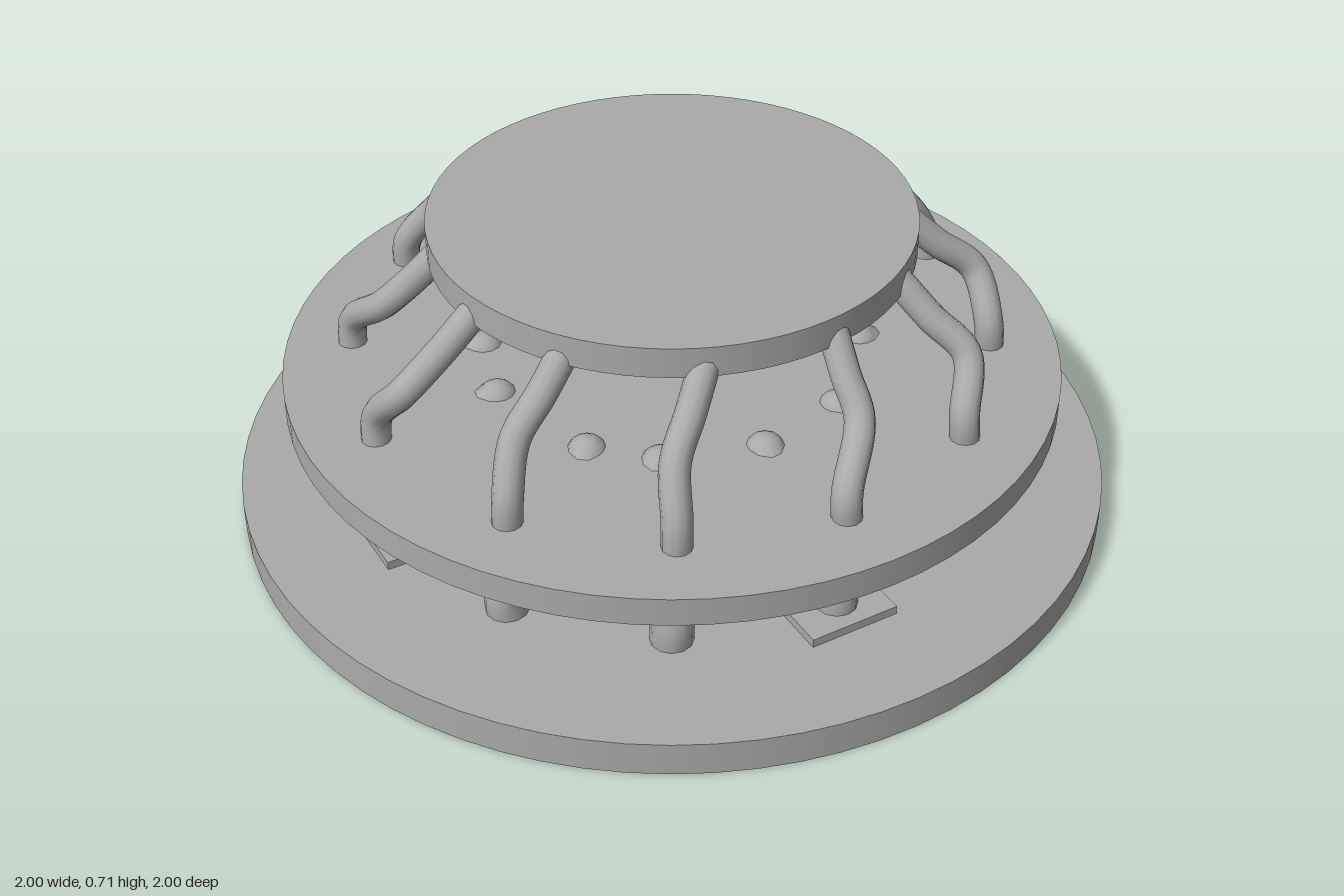
import * as THREE from 'three';

const grey = new THREE.MeshStandardMaterial({ color: 0xaaaaaa });
grey.name = 'stone grey';

// Plan points of each upper root: foot x,z, bend x,z, top x,z
const upperRoots = [
  [0, 0.72, 0.08, 0.63, 0.09, 0.5],
  [0.37, 0.62, 0.41, 0.55, 0.31, 0.41],
  [0.63, 0.36, 0.63, 0.28, 0.47, 0.2],
  [0.73, -0.03, 0.66, -0.03, 0.5, -0.08],
  [0.62, -0.38, 0.54, -0.36, 0.39, -0.32],
  [0.36, -0.64, 0.27, -0.61, 0.19, -0.47],
  [-0.01, -0.73, -0.08, -0.71, -0.03, -0.5],
  [-0.38, -0.63, -0.32, -0.57, -0.32, -0.4],
  [-0.63, -0.37, -0.59, -0.25, -0.47, -0.17],
  [-0.73, 0, -0.69, 0.08, -0.5, 0.07],
  [-0.61, 0.39, -0.56, 0.34, -0.41, 0.29],
  [-0.35, 0.63, -0.32, 0.57, -0.19, 0.47],
];

export function createModel() {
  const model = new THREE.Group();
  model.name = 'tieredStand';

  const add = (name, geometry, parent = model) => {
    const mesh = new THREE.Mesh(geometry, grey);
    mesh.name = name;
    parent.add(mesh);
    return mesh;
  };
  const group = (name) => {
    const g = new THREE.Group();
    g.name = name;
    model.add(g);
    return g;
  };
  const disc = (name, radius, bottom, top) => {
    add(name, new THREE.CylinderGeometry(radius, radius, top - bottom, 72))
      .position.y = (bottom + top) / 2;
  };
  // Smooth root through the points, rounded at its upper end
  const root = (name, points, radius, parent) => {
    const curve = new THREE.CatmullRomCurve3(points.map((p) => new THREE.Vector3(...p)));
    add(name, new THREE.TubeGeometry(curve, 28, radius, 12), parent);
    add(name + 'Tip', new THREE.SphereGeometry(radius, 12, 8), parent)
      .position.set(...points[points.length - 1]);
  };
  const polar = (r, a, y) => [r * Math.sin(a), y, r * Math.cos(a)];

  // Three tiers
  disc('baseDisc', 1, 0, 0.08);
  disc('middleDisc', 0.88, 0.285, 0.352);
  disc('topDisc', 0.54, 0.637, 0.707);

  // Winding roots between the middle and top discs
  const upper = group('upperRoots');
  upperRoots.forEach(([fx, fz, bx, bz, tx, tz]) => {
    root('upperRoot', [
      [fx, 0.32, fz],
      [fx * 0.99, 0.41, fz * 0.99],
      [bx, 0.51, bz],
      [(bx + tx) / 2, 0.58, (bz + tz) / 2],
      [tx, 0.66, tz],
    ], 0.033, upper);
  });
  // Second strand twisted into the back root
  root('twinRoot', [[-0.07, 0.36, -0.72], [-0.09, 0.46, -0.74], [-0.05, 0.54, -0.64], [-0.06, 0.66, -0.5]], 0.02, upper);

  // Thick outer roots and slim inner roots between the base and middle discs
  const lower = group('lowerRoots');
  for (let i = 0; i < 12; i++) {
    const a = i * Math.PI / 6;
    const bend = 0.09 * Math.sin(i * 2.3 + 3.6);
    root('lowerRoot', [
      polar(0.69, a, 0.05),
      polar(0.69, a, 0.13),
      polar(0.64, a + bend, 0.21),
      polar(0.53, a + bend * 1.6, 0.26),
      polar(0.43, a + bend, 0.33),
    ], 0.047, lower);
    root('innerRoot', [
      polar(0.56, a + 0.2, 0.06),
      polar(0.45, a + 0.24 + bend, 0.15),
      polar(0.34, a + 0.2, 0.24),
      polar(0.24, a + 0.16, 0.31),
    ], 0.028, lower);
  }

  // Square foot plates on the four sides
  const plates = group('footPlates');
  for (let i = 0; i < 4; i++) {
    const a = i * Math.PI / 2;
    const plate = add('footPlate', new THREE.BoxGeometry(0.21, 0.03, 0.21), plates);
    plate.position.set(...polar(0.665, a, 0.085));
    plate.rotation.y = a;
  }

  return model;
}
